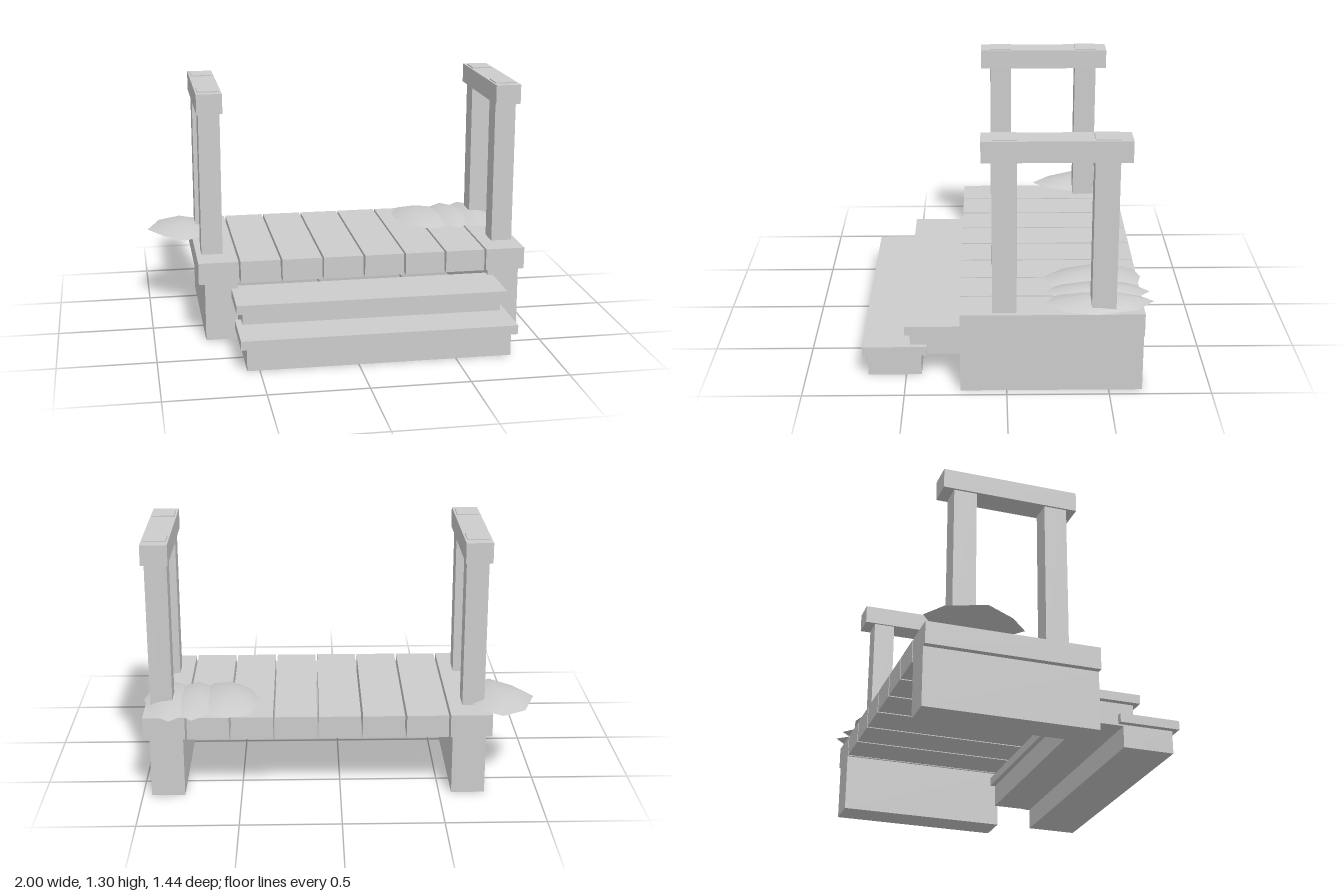
import * as THREE from 'three';

const grey = new THREE.MeshStandardMaterial({ color: 0xcccccc });
grey.name = 'plain grey';

// Box given by its min and max on each axis
function box(parent, name, [x0, x1], [y0, y1], [z0, z1]) {
  const mesh = new THREE.Mesh(new THREE.BoxGeometry(x1 - x0, y1 - y0, z1 - z0), grey);
  mesh.position.set((x0 + x1) / 2, (y0 + y1) / 2, (z0 + z1) / 2);
  mesh.name = name;
  parent.add(mesh);
}

// Low smooth mound: its outline ([x, z] points, clockwise from above) shrinks in rings to the centre
function mound(parent, name, [cx, cz], height, outline) {
  const base = 0.424;
  const rings = [[0, 1], [0.3, 0.95], [0.6, 0.72], [0.85, 0.36], [1, 0.1], [1, 0.1], [0.93, 0], [0, 0]];
  const n = outline.length;
  const positions = [];
  const index = [];
  for (const [s, h] of rings) {
    for (const [x, z] of outline) {
      positions.push(cx + (x - cx) * s, base + height * h, cz + (z - cz) * s);
    }
  }
  for (let r = 0; r < rings.length - 1; r++) {
    if (r === 4) continue; // sharp rim between top and underside
    for (let i = 0; i < n; i++) {
      const a = r * n + i, b = r * n + (i + 1) % n;
      const c = a + n, d = b + n;
      if (rings[r][0] > 0) index.push(a, b, d);
      if (rings[r + 1][0] > 0) index.push(a, d, c);
      else index.push(a, b, c);
    }
  }
  const geometry = new THREE.BufferGeometry();
  geometry.setAttribute('position', new THREE.Float32BufferAttribute(positions, 3));
  geometry.setIndex(index);
  geometry.computeVertexNormals();
  // Centre points are repeated: make the summit and the underside centre shade evenly
  const normal = geometry.attributes.normal;
  for (let i = 0; i < n; i++) {
    normal.setXYZ(i, 0, 1, 0);
    normal.setXYZ((rings.length - 1) * n + i, 0, -1, 0);
  }
  const mesh = new THREE.Mesh(geometry, grey);
  mesh.name = name;
  parent.add(mesh);
}

export function createModel() {
  const model = new THREE.Group();
  model.name = 'wooden porch';

  // Deck of eight planks on two side supports
  const deck = new THREE.Group();
  deck.name = 'deck';
  model.add(deck);
  for (let i = 0; i < 8; i++) {
    const x = -0.763 + i * 0.22;
    box(deck, 'plank', [x, x + 0.21], [0.306, 0.422], [-0.664, 0.227]);
  }
  for (const x of [-0.731, 0.787]) {
    box(deck, 'sideSupport', [x, x + 0.168], [0, 0.306], [-0.664, 0.227]);
  }

  // Two steps, each a riser block with an overhanging tread
  const steps = new THREE.Group();
  steps.name = 'steps';
  model.add(steps);
  for (const [bottom, top, front] of [[0, 0.12, 0.716], [0.112, 0.231, 0.505]]) {
    box(steps, 'riser', [-0.563, 0.787], [bottom, top], [front - 0.293, front - 0.026]);
    box(steps, 'tread', [-0.594, 0.816], [top, top + 0.047], [front - 0.32, front]);
  }

  // Railings: two posts whose tops just show through a handrail
  for (const x of [-0.679, 0.903]) {
    const railing = new THREE.Group();
    railing.name = 'railing';
    model.add(railing);
    for (const z of [0.012, -0.467]) {
      box(railing, 'post', [x - 0.056, x + 0.056], [0.42, 1.297], [z - 0.059, z + 0.059]);
    }
    box(railing, 'handrail', [x - 0.067, x + 0.067], [1.187, 1.291], [-0.583, 0.122]);
  }

  // Mounds lying on the back corners of the deck
  mound(model, 'rightCornerMound', [-0.81, -0.43], 0.041, [
    [-1, -0.43], [-0.93, -0.62], [-0.81, -0.69], [-0.7, -0.61], [-0.65, -0.43], [-0.7, -0.26],
    [-0.8, -0.18], [-0.91, -0.28]]);
  mound(model, 'innerMound', [0.56, -0.43], 0.041, [
    [0.41, -0.43], [0.42, -0.56], [0.47, -0.655], [0.56, -0.68], [0.65, -0.66], [0.71, -0.57],
    [0.73, -0.43], [0.71, -0.3], [0.65, -0.21], [0.56, -0.19], [0.46, -0.29]]);
  mound(model, 'middleMound', [0.74, -0.44], 0.041, [
    [0.61, -0.44], [0.64, -0.62], [0.74, -0.71], [0.83, -0.62], [0.87, -0.44], [0.82, -0.26],
    [0.74, -0.19], [0.66, -0.26]]);
  mound(model, 'leftCornerMound', [0.86, -0.44], 0.039, [
    [0.73, -0.44], [0.76, -0.62], [0.85, -0.72], [0.95, -0.63], [1, -0.43], [0.97, -0.28],
    [0.88, -0.18], [0.78, -0.24]]);

  return model;
}
